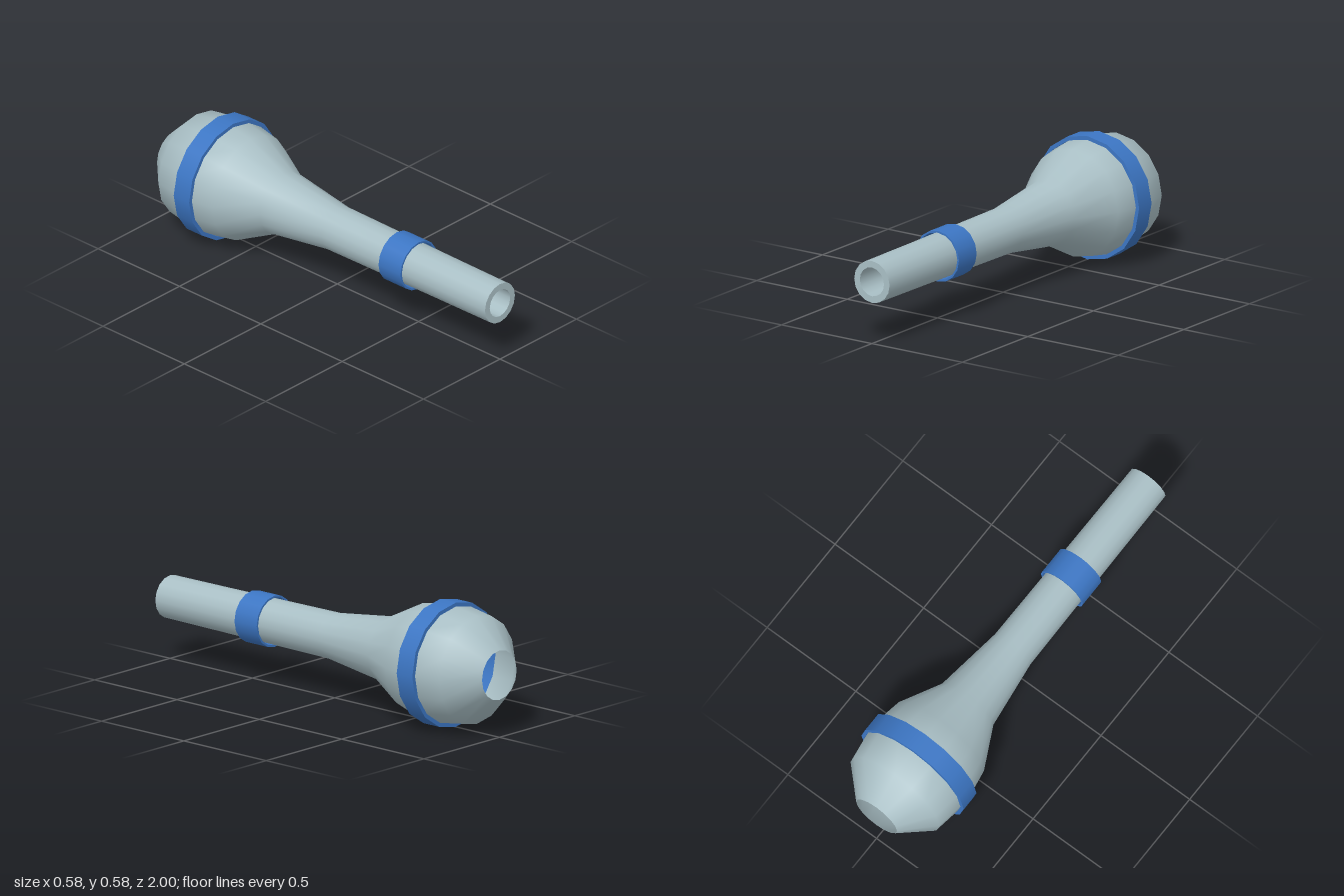
import * as THREE from 'three';
import { mergeGeometries } from 'three/addons/utils/BufferGeometryUtils.js';

const SIDES = 16;
const AXIS_Y = 0.288;

// Revolve smooth strips of [z, radius] points around the z axis; strips meet in sharp edges.
function revolve(strips) {
  const parts = strips.map((strip) =>
    new THREE.LatheGeometry(strip.map(([z, r]) => new THREE.Vector2(r, z)), SIDES));
  return mergeGeometries(parts).rotateX(Math.PI / 2);
}

// Closed flat band with square edges.
function collar(z0, z1, inner, outer) {
  return revolve([
    [[z0, inner], [z0, outer]],
    [[z0, outer], [z1, outer]],
    [[z1, outer], [z1, inner]],
    [[z1, inner], [z0, inner]],
  ]);
}

export function createModel() {
  const model = new THREE.Group();
  const shell = new THREE.MeshStandardMaterial({ color: 0xa9bfc5, side: THREE.DoubleSide });
  const blue = new THREE.MeshStandardMaterial({ color: 0x3c76c4 });
  shell.name = 'pale grey';
  blue.name = 'blue';

  const add = (name, geometry, material) => {
    const mesh = new THREE.Mesh(geometry, material);
    mesh.name = name;
    mesh.position.y = AXIS_Y;
    model.add(mesh);
  };

  // Open bulb flowing into a long slim neck
  add('bulbAndNeck', revolve([[
    [-1, 0.115], [-0.865, 0.25], [-0.69, 0.276], [-0.535, 0.25],
    [-0.335, 0.15], [0, 0.106], [0.33, 0.103], [0.66, 0.1], [1, 0.098],
  ]]), shell);

  // Rim of the mouth and the bore behind it
  add('mouthRimAndBore', revolve([
    [[1, 0.098], [1, 0.067]],
    [[1, 0.067], [0, 0.068]],
  ]), shell);

  // Bands around the bulb and the neck
  add('bulbBand', collar(-0.735, -0.64, 0.27, 0.288), blue);
  add('neckBand', collar(0.365, 0.5, 0.11, 0.119), blue);

  return model;
}
